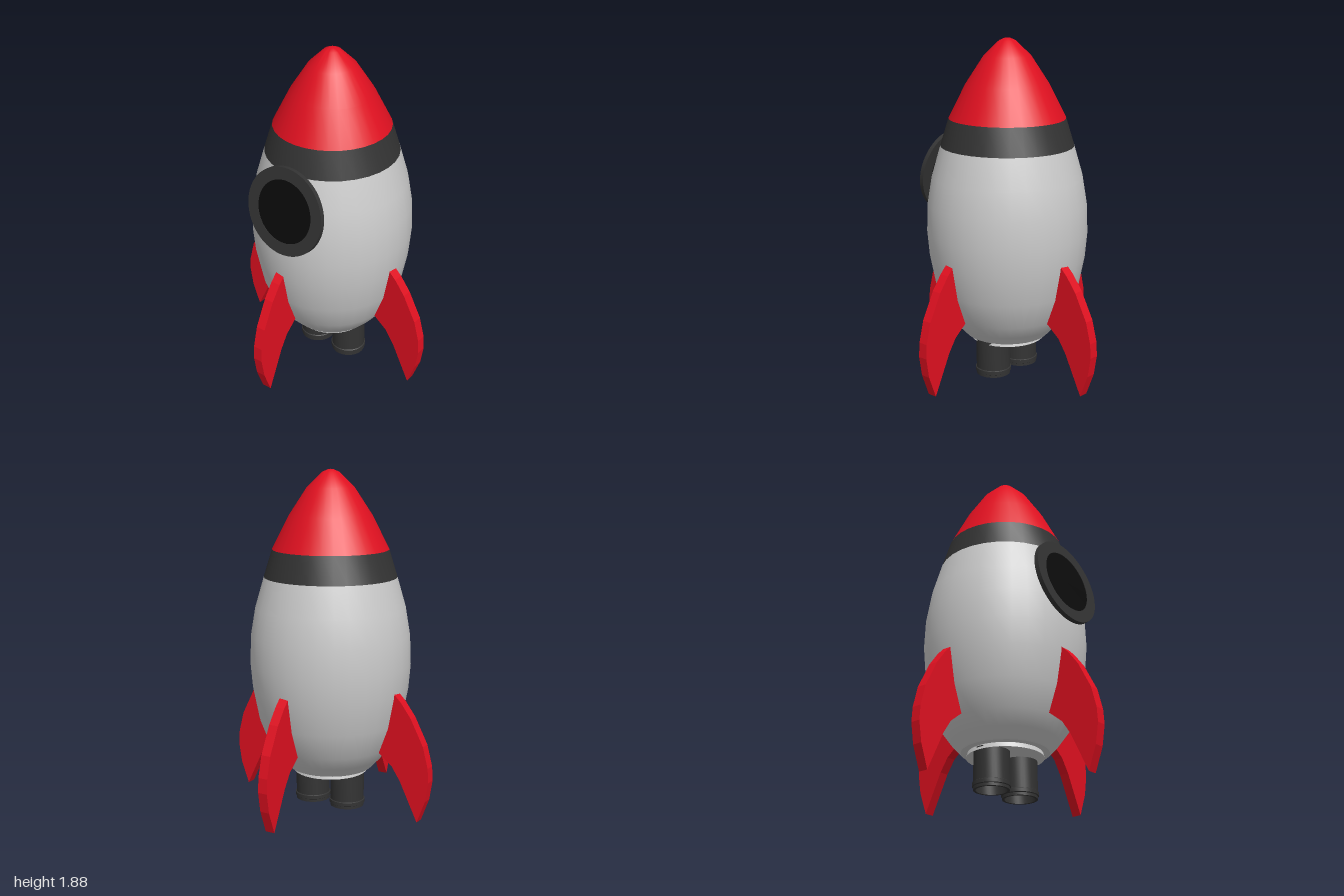
import * as THREE from 'three';
import { toCreasedNormals } from 'three/addons/utils/BufferGeometryUtils.js';

const SEGMENTS = 32;
const material = (color) => new THREE.MeshStandardMaterial({ color, side: THREE.DoubleSide });
const red = material(0xe01020);
const dark = material(0x333333);
const black = material(0x0b0b0b);
const grey = material(0xcccccc);

function addMesh(parent, name, geometry, mat) {
  const mesh = new THREE.Mesh(geometry, mat);
  mesh.name = name;
  parent.add(mesh);
  return mesh;
}

// Profile points are [radius, y], listed from bottom to top.
function lathe(points, crease = 0.7) {
  const profile = points.map(([r, y]) => new THREE.Vector2(r, y));
  return toCreasedNormals(new THREE.LatheGeometry(profile, SEGMENTS), crease);
}

// One swept-back fin, lying on the +x side with its thickness towards +z.
function finGeometry() {
  const shape = new THREE.Shape();
  [[0.32, 0.49], [0.345, 0.475], [0.42, 0.415], [0.47, 0.34], [0.575, 0.125],
    [0.622, 0.25], [0.64, 0.36], [0.635, 0.44], [0.605, 0.555], [0.53, 0.70],
    [0.47, 0.78], [0.43, 0.82], [0.37, 0.65]]
    .forEach(([x, y], i) => (i ? shape.lineTo(x, y) : shape.moveTo(x, y)));
  shape.closePath();
  return new THREE.ExtrudeGeometry(shape, { depth: 0.055, bevelEnabled: false });
}

// Flat round porthole: a ring with a pane set slightly back.
function createPorthole() {
  const porthole = new THREE.Group();
  porthole.name = 'porthole';
  const ring = new THREE.Shape().absarc(0, 0, 0.243, 0, Math.PI * 2);
  ring.holes.push(new THREE.Path().absarc(0, 0, 0.175, 0, Math.PI * 2, true));
  const ringGeometry = new THREE.ExtrudeGeometry(ring, { depth: 0.025, bevelEnabled: false, curveSegments: SEGMENTS });
  addMesh(porthole, 'portholeRing', toCreasedNormals(ringGeometry, 0.7), dark);
  const pane = addMesh(porthole, 'portholePane', new THREE.CircleGeometry(0.176, SEGMENTS), black);
  pane.position.z = 0.022;
  porthole.position.set(0.01, 1.222, 0.404);
  porthole.rotation.x = -0.167;
  return porthole;
}

export function createModel() {
  const rocket = new THREE.Group();
  rocket.name = 'rocket';

  // Hull with a small flared foot
  addMesh(rocket, 'hull', lathe([
    [0, 0.33], [0.18, 0.33], [0.207, 0.32], [0.2, 0.345], [0.235, 0.347], [0.29, 0.405],
    [0.345, 0.48], [0.4, 0.625], [0.434, 0.8], [0.446, 0.94], [0.44, 1.1],
    [0.415, 1.25], [0.366, 1.42],
  ]), grey);

  // Dark band and nose cone
  addMesh(rocket, 'band', lathe([[0.366, 1.42], [0.32, 1.57]]), dark);
  addMesh(rocket, 'noseCone', lathe([
    [0.32, 1.57], [0.226, 1.755], [0.128, 1.905], [0.045, 1.985], [0.015, 1.998], [0, 2],
  ]), red);

  rocket.add(createPorthole());

  // Four fins, each offset to one side of its axis
  const fin = finGeometry();
  ['leftFin', 'frontFin', 'rightFin', 'backFin'].forEach((name, i) => {
    addMesh(rocket, name, fin, red).rotation.y = -i * Math.PI / 2;
  });

  // Two hollow nozzles with a raised collar near the mouth
  const nozzle = lathe([
    [0, 0.2], [0.082, 0.2], [0.082, 0.125], [0.095, 0.125], [0.095, 0.14],
    [0.1, 0.143], [0.1, 0.162], [0.095, 0.165], [0.095, 0.34],
  ]);
  [['rightNozzle', -0.108], ['leftNozzle', 0.118]].forEach(([name, x]) => {
    addMesh(rocket, name, nozzle, dark).position.x = x;
  });

  return rocket;
}
